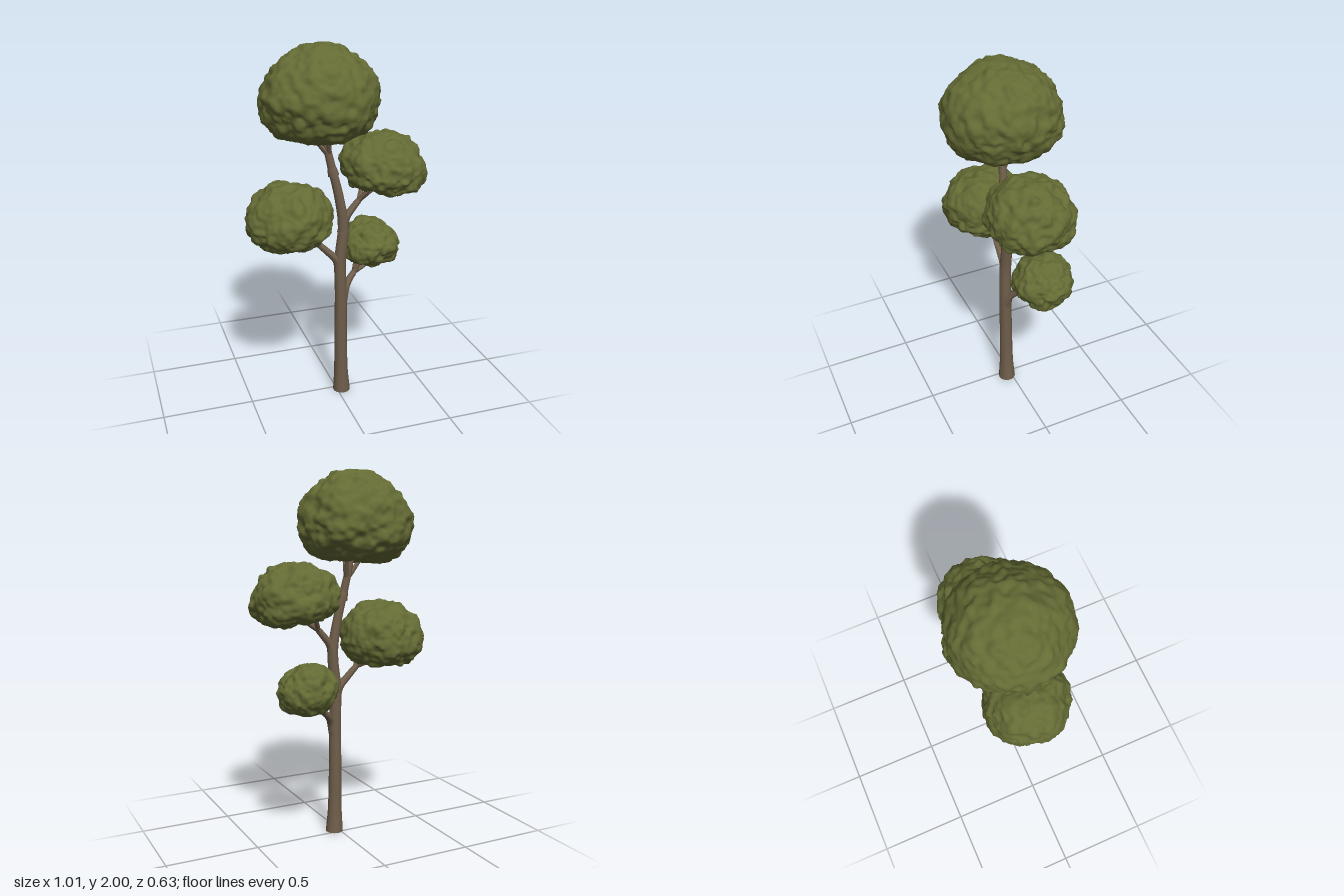
import * as THREE from 'three';
import { mergeVertices } from 'three/addons/utils/BufferGeometryUtils.js';

const V = (p) => new THREE.Vector3(...p);

// Repeatable lattice noise in -1..1
function hash(x, y, z) {
  const s = Math.sin(x * 127.1 + y * 311.7 + z * 74.7) * 43758.5453;
  return (s - Math.floor(s)) * 2 - 1;
}
function noise(x, y, z) {
  const [i, j, k] = [x, y, z].map(Math.floor);
  const [u, v, w] = [x - i, y - j, z - k].map((t) => t * t * (3 - 2 * t));
  const mix = THREE.MathUtils.lerp;
  const row = (b, c) => mix(hash(i, b, c), hash(i + 1, b, c), u);
  return mix(mix(row(j, k), row(j + 1, k), v), mix(row(j, k + 1), row(j + 1, k + 1), v), w);
}

// Tube along points whose radius follows a list of values
function taperedTube(points, radii, segments, sides) {
  const curve = new THREE.CatmullRomCurve3(points.map(V));
  const geo = new THREE.TubeGeometry(curve, segments, 1, sides, false);
  const pos = geo.attributes.position;
  const v = new THREE.Vector3();
  for (let i = 0; i <= segments; i++) {
    const centre = curve.getPointAt(i / segments);
    const t = (i / segments) * (radii.length - 1);
    const a = Math.min(Math.floor(t), radii.length - 2);
    const r = THREE.MathUtils.lerp(radii[a], radii[a + 1], t - a);
    for (let j = 0; j <= sides; j++) {
      const n = i * (sides + 1) + j;
      v.fromBufferAttribute(pos, n).sub(centre).multiplyScalar(r).add(centre);
      pos.setXYZ(n, v.x, Math.max(v.y, 0), v.z);
    }
  }
  geo.computeVertexNormals();
  return geo;
}

// Lumpy dome: round above its widest level, shallower and slightly dented below
function crownGeometry({ r, up, down, seed }) {
  let geo = new THREE.IcosahedronGeometry(1, 24);
  geo.deleteAttribute('normal');
  geo.deleteAttribute('uv');
  geo = mergeVertices(geo, 1e-4);
  const pos = geo.attributes.position;
  const v = new THREE.Vector3();
  for (let i = 0; i < pos.count; i++) {
    v.fromBufferAttribute(pos, i);
    const n = v.clone();
    const rho = Math.hypot(v.x, v.z);
    const power = v.y < 0 ? 2.3 : 1.96;
    v.multiplyScalar((rho ** power + Math.abs(v.y) ** power) ** (-1 / power));
    const dent = v.y < 0 ? 1 - 0.15 * Math.exp(-((rho / 0.4) ** 2)) : 1;
    v.set(v.x * r, v.y * (v.y > 0 ? up : down * dent), v.z * r);
    const at = (f) => noise(v.x * f + seed, v.y * f + seed * 2, v.z * f + seed * 3);
    const lump = 0.012 * at(9) + 0.014 * at(24) + 0.008 * at(45) - 0.005;
    v.addScaledVector(n, lump);
    pos.setXYZ(i, v.x, v.y, v.z);
  }
  geo.computeVertexNormals();
  return geo;
}

export function createModel() {
  const tree = new THREE.Group();
  tree.name = 'tree';
  const bark = new THREE.MeshStandardMaterial({ color: 0x6f5e4b });
  bark.name = 'bark brown';
  const leaf = new THREE.MeshStandardMaterial({ color: 0x646b34 });
  leaf.name = 'leaf green';
  const add = (name, geo, mat) => {
    const mesh = new THREE.Mesh(geo, mat);
    mesh.name = name;
    tree.add(mesh);
    return mesh;
  };

  // Trunk, bending to its right at the top, with a closed foot
  add('trunk', taperedTube(
    [[0.027, 0, 0.027], [0.024, 0.1, 0.028], [0.02, 0.4, 0.03], [0.02, 0.62, 0.032], [0.016, 0.82, 0.03],
      [0.034, 1.02, 0.028], [0.008, 1.2, 0.026], [-0.03, 1.36, 0.02], [-0.06, 1.5, 0.012], [-0.08, 1.6, 0.01]],
    [0.049, 0.04, 0.037, 0.036, 0.035, 0.034, 0.033, 0.032, 0.031, 0.029, 0.026, 0.024, 0.022, 0.019, 0.014], 48, 14), bark);
  const foot = add('trunkFoot', new THREE.CircleGeometry(0.049, 14), bark);
  foot.rotation.x = Math.PI / 2;
  foot.position.set(0.027, 0.001, 0.027);

  // Branches, each ending in twigs that spread under and into a crown
  const branches = [
    { name: 'upperBranch', path: [[0.03, 0.98, 0.028], [0.048, 1.06, 0.025], [0.09, 1.115, 0.02], [0.125, 1.155, 0.018]],
      twigs: [[0.24, 1.23, 0.01], [0.18, 1.26, -0.05], [0.19, 1.26, 0.08]] },
    { name: 'middleBranch', path: [[0.018, 0.75, 0.03], [0, 0.82, 0.03], [-0.06, 0.885, 0.03], [-0.11, 0.935, 0.03]],
      twigs: [[-0.24, 0.99, 0.04], [-0.19, 0.985, -0.05], [-0.14, 1.04, 0.09]] },
    { name: 'lowerBranch', path: [[0.024, 0.56, 0.03], [0.045, 0.63, 0.024], [0.08, 0.68, -0.005], [0.118, 0.71, -0.03]],
      twigs: [[0.24, 0.76, -0.06], [0.165, 0.79, -0.11], [0.16, 0.8, -0.02]] },
    { name: 'topBranch', path: [[-0.018, 1.31, 0.022], [-0.03, 1.36, 0.02], [-0.042, 1.415, 0.016]],
      twigs: [[-0.16, 1.57, 0.02], [-0.02, 1.58, -0.04], [-0.06, 1.58, 0.08]] },
  ];
  for (const { name, path, twigs } of branches) {
    add(name, taperedTube(path, [0.03, 0.027, 0.021, 0.019, 0.017], 16, 10), bark);
    const fork = path[path.length - 1];
    const before = V(path[path.length - 2]).lerp(V(fork), 0.6).toArray();
    twigs.forEach((tip, i) => {
      const mid = V(fork).lerp(V(tip), 0.4).toArray();
      add(`${name}Twig${i + 1}`, taperedTube([before, fork, mid, tip], [0.015, 0.014, 0.012, 0.009], 10, 8), bark);
    });
  }

  // Leaf crowns, placed at their widest level
  const crowns = [
    { name: 'topCrown', at: [-0.084, 1.71, 0.004], r: 0.31, up: 0.288, down: 0.217, tilt: 0.06, seed: 3.3 },
    { name: 'upperCrown', at: [0.26, 1.31, 0.01], r: 0.235, up: 0.218, down: 0.122, tilt: -0.17, seed: 11.7 },
    { name: 'middleCrown', at: [-0.264, 1.085, 0.026], r: 0.237, up: 0.213, down: 0.162, tilt: 0, seed: 23.1 },
    { name: 'lowerCrown', at: [0.236, 0.86, -0.087], r: 0.168, up: 0.138, down: 0.132, tilt: -0.1, seed: 37.9 },
  ];
  for (const c of crowns) {
    const mesh = add(c.name, crownGeometry(c), leaf);
    mesh.position.set(...c.at);
    mesh.rotation.z = c.tilt;
  }
  return tree;
}
